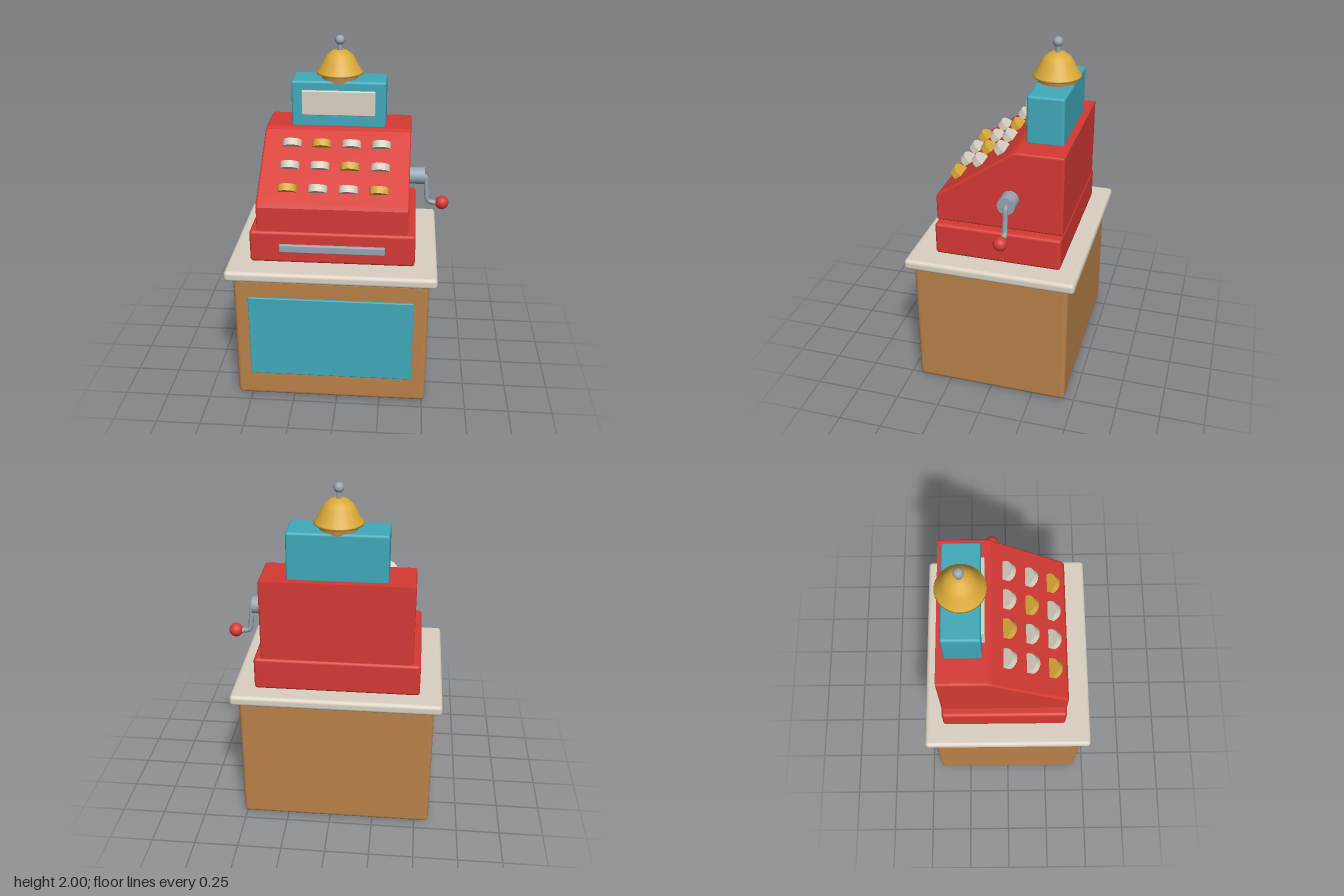
import * as THREE from 'three';
import { RoundedBoxGeometry } from 'three/addons/geometries/RoundedBoxGeometry.js';

const material = (name, color, side = THREE.FrontSide) => {
  const m = new THREE.MeshStandardMaterial({ color, side });
  m.name = name;
  return m;
};

export function createModel() {
  const red = material('red enamel', 0xd63a34);
  const teal = material('teal paint', 0x40aabb);
  const wood = material('warm wood', 0xb9824a);
  const cream = material('cream', 0xd9d1c2);
  const gold = material('gold', 0xdbab3a, THREE.DoubleSide);
  const steel = material('steel', 0x98a4b0);

  const model = new THREE.Group();
  model.name = 'cashRegisterOnCounter';
  const cx = -0.033; // middle of the counter; the crank sticks out on the left side

  const add = (name, geometry, mat, x = 0, y = 0, z = 0, parent = model) => {
    const mesh = new THREE.Mesh(geometry, mat);
    mesh.name = name;
    mesh.position.set(x, y, z);
    parent.add(mesh);
    return mesh;
  };
  // Rounded box given by its width and its y and z ranges
  const block = (name, mat, w, y0, y1, z0, z1, r) =>
    add(name, new RoundedBoxGeometry(w, y1 - y0, z1 - z0, 3, r), mat, cx, (y0 + y1) / 2, (z0 + z1) / 2);

  // Counter
  block('cabinet', wood, 1.1, 0, 0.775, -0.445, 0.445, 0.025);
  block('frontPanel', teal, 0.935, 0.155, 0.66, 0.42, 0.458, 0.006);
  block('countertop', cream, 1.185, 0.77, 0.832, -0.487, 0.487, 0.022);

  // Cash drawer
  block('drawer', red, 0.93, 0.83, 1.02, -0.38, 0.34, 0.018);
  block('drawerHandle', steel, 0.595, 0.9, 0.948, 0.32, 0.357, 0.008);

  // Sloped register body, profile in z and y, extruded across x
  const bevel = 0.012;
  const width = 0.845;
  const profile = new THREE.Shape([
    [-0.38, 1.025], [0.34, 1.025], [0.34, 1.165], [0.33, 1.187],
    [-0.085, 1.478], [-0.115, 1.49], [-0.38, 1.49],
  ].map(([z, y]) => new THREE.Vector2(z, y)));
  const bodyGeo = new THREE.ExtrudeGeometry(profile, {
    depth: width - 2 * bevel, bevelThickness: bevel, bevelSize: bevel, bevelOffset: -bevel, bevelSegments: 3,
  });
  bodyGeo.translate(0, 0, -width / 2 + bevel).rotateY(-Math.PI / 2);
  add('registerBody', bodyGeo, red, cx);

  // Half-sunken round keys on the slope
  const keys = new THREE.Group();
  keys.name = 'keys';
  model.add(keys);
  const keyGeo = new THREE.CylinderGeometry(0.055, 0.055, 0.04, 18);
  ['GCCG', 'CCGC', 'CGCC'].forEach((row, r) => [...row].forEach((c, i) => {
    const key = add('key', keyGeo, c === 'G' ? gold : cream,
      cx - 0.255 + i * 0.17, 1.245 + r * 0.088, 0.248 - r * 0.126, keys);
    key.rotation.x = -0.61;
  }));

  // Display box
  block('displayBox', teal, 0.547, 1.48, 1.755, -0.34, -0.133, 0.014);
  block('displayScreen', cream, 0.425, 1.557, 1.702, -0.16, -0.115, 0.006);

  // Bell
  const bell = new THREE.Group();
  bell.name = 'bell';
  bell.position.set(cx, 0, -0.235);
  model.add(bell);
  add('bellBase', new THREE.CylinderGeometry(0.106, 0.106, 0.05, 28), wood, 0, 1.765, 0, bell);
  const bellProfile = [
    [0.12, 1.78], [0.135, 1.782], [0.132, 1.792], [0.112, 1.82], [0.095, 1.855],
    [0.073, 1.89], [0.042, 1.912], [0, 1.917],
  ].map(([r, y]) => new THREE.Vector2(r, y));
  add('bellDome', new THREE.LatheGeometry(bellProfile, 32), gold, 0, 0, 0, bell);
  add('bellStem', new THREE.CylinderGeometry(0.014, 0.014, 0.06, 12), steel, 0, 1.935, 0, bell);
  add('bellKnob', new THREE.SphereGeometry(0.028, 16, 12), steel, 0, 1.972, 0, bell);

  // Side crank
  const crank = new THREE.Group();
  crank.name = 'crank';
  crank.position.z = -0.087;
  model.add(crank);
  add('crankHub', new THREE.CylinderGeometry(0.05, 0.05, 0.1, 18).rotateZ(Math.PI / 2),
    steel, 0.428, 1.215, 0, crank);
  const path = new THREE.CatmullRomCurve3([
    [0.46, 1.215], [0.482, 1.205], [0.49, 1.13], [0.503, 1.058], [0.53, 1.047], [0.57, 1.045],
  ].map(([x, y]) => new THREE.Vector3(x, y, 0)));
  add('crankArm', new THREE.TubeGeometry(path, 28, 0.015, 10), steel, 0, 0, 0, crank);
  add('crankKnob', new THREE.SphereGeometry(0.04, 18, 14), red, 0.584, 1.047, 0, crank);

  return model;
}
